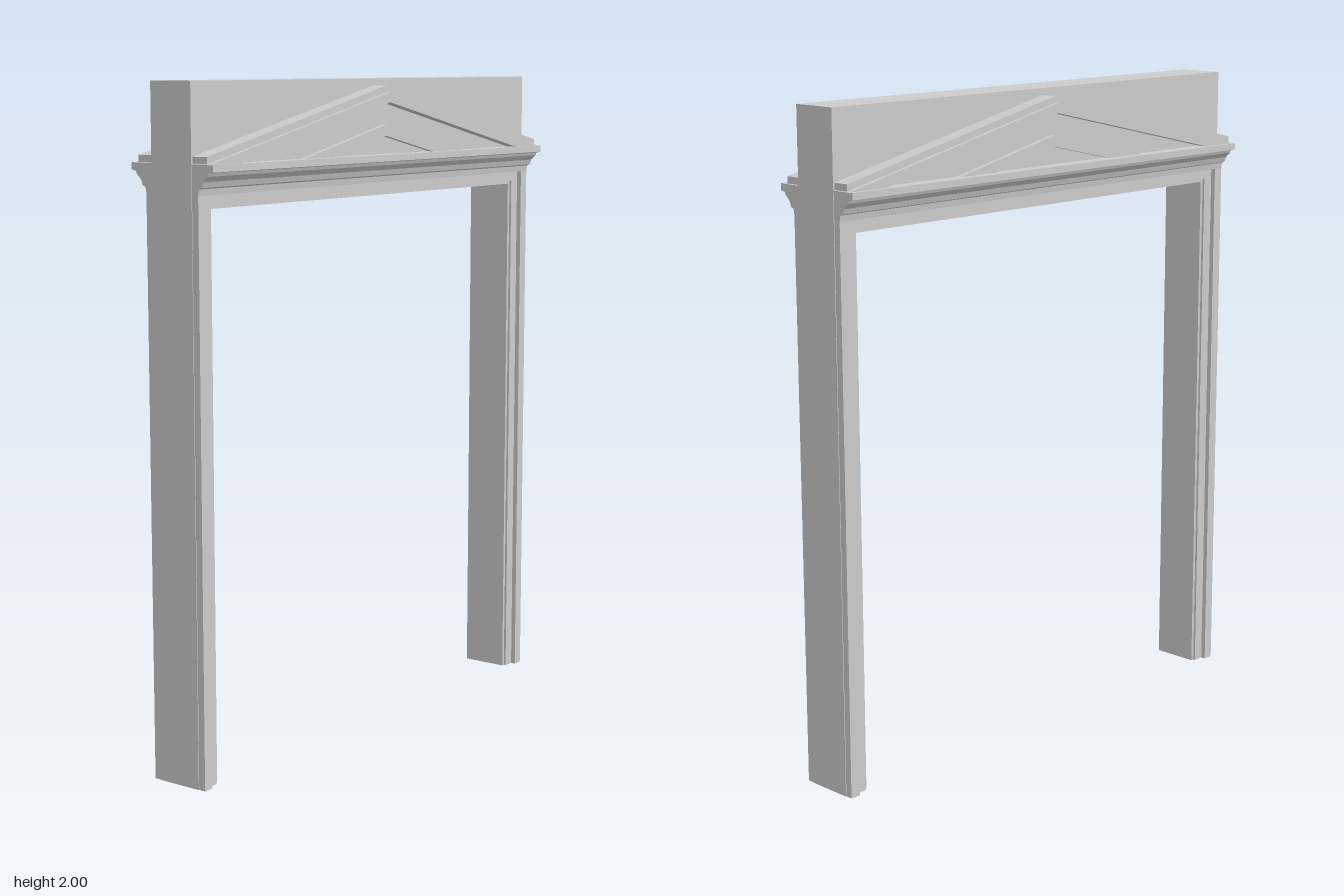
import * as THREE from 'three';

const material = new THREE.MeshStandardMaterial({ color: 0xcccccc, flatShading: true });
const SLOPE = 0.223;
const BASE = 1.77; // top of the cornice, where the pediment sits

function extrude(name, points, depth, z) {
  const shape = new THREE.Shape(points.map(([x, y]) => new THREE.Vector2(x, y)));
  const geometry = new THREE.ExtrudeGeometry(shape, { depth, bevelEnabled: false });
  geometry.translate(0, 0, z);
  const mesh = new THREE.Mesh(geometry, material);
  mesh.name = name;
  return mesh;
}

// Upside-down U standing on the ground
function portal(name, outerX, outerY, innerX, innerY, z0, z1) {
  return extrude(name, [
    [-outerX, 0], [-innerX, 0], [-innerX, innerY], [innerX, innerY],
    [innerX, 0], [outerX, 0], [outerX, outerY], [-outerX, outerY],
  ], z1 - z0, z0);
}

// Sloping band between two apex heights, cut off at the cornice and at halfWidth
function rakingBand(name, topApex, lowApex, halfWidth, z0, z1) {
  const foot = (apex) => Math.min(halfWidth, (apex - BASE) / SLOPE);
  const height = (apex, x) => apex - SLOPE * x;
  const xTop = foot(topApex), xLow = foot(lowApex);
  const points = [[xTop, height(topApex, xTop)], [0, topApex], [-xTop, height(topApex, xTop)]];
  if (height(topApex, xTop) > BASE + 0.001) points.push([-xTop, BASE]);
  points.push([-xLow, height(lowApex, xLow)], [0, lowApex], [xLow, height(lowApex, xLow)]);
  if (height(topApex, xTop) > BASE + 0.001) points.push([xTop, BASE]);
  return extrude(name, points, z1 - z0, z0);
}

// Moulded cornice: a (z, y) profile run along x
function cornice() {
  const profile = [
    [0.06, 1.69], [0.095, 1.69], [0.098, 1.708], [0.108, 1.712], [0.114, 1.728],
    [0.13, 1.743], [0.134, 1.752], [0.15, 1.755], [0.15, 1.775], [0.06, 1.775],
  ];
  const mesh = extrude('cornice', profile.map(([z, y]) => [-z, y]), 1.656, -0.828);
  mesh.geometry.rotateY(Math.PI / 2);
  return mesh;
}

// Everything applied to one face of the wall
function facing(name) {
  const group = new THREE.Group();
  group.name = name;
  group.add(
    portal('innerFascia', 0.828, 1.72, 0.76, 1.66, 0.06, 0.08),
    portal('outerArchitrave', 0.828, 1.72, 0.795, 1.692, 0.07, 0.095),
    cornice(),
    rakingBand('rakingCap', 1.98, 1.955, 0.825, 0.06, 0.125),
    rakingBand('rakingMoulding', 1.96, 1.93, 0.83, 0.06, 0.138),
    extrude('tympanum', [[-0.74, BASE], [0.74, BASE], [0, BASE + 0.74 * SLOPE]], 0.035, 0.07),
    rakingBand('tympanumMoulding', 1.863, 1.83, 0.5, 0.06, 0.122),
  );
  return group;
}

export function createModel() {
  const model = new THREE.Group();
  model.name = 'pedimentedDoorway';
  model.add(portal('wall', 0.83, 2, 0.75, 1.65, -0.073, 0.073));
  const front = facing('frontFacing');
  const back = facing('backFacing');
  back.rotation.y = Math.PI;
  model.add(front, back);
  return model;
}
